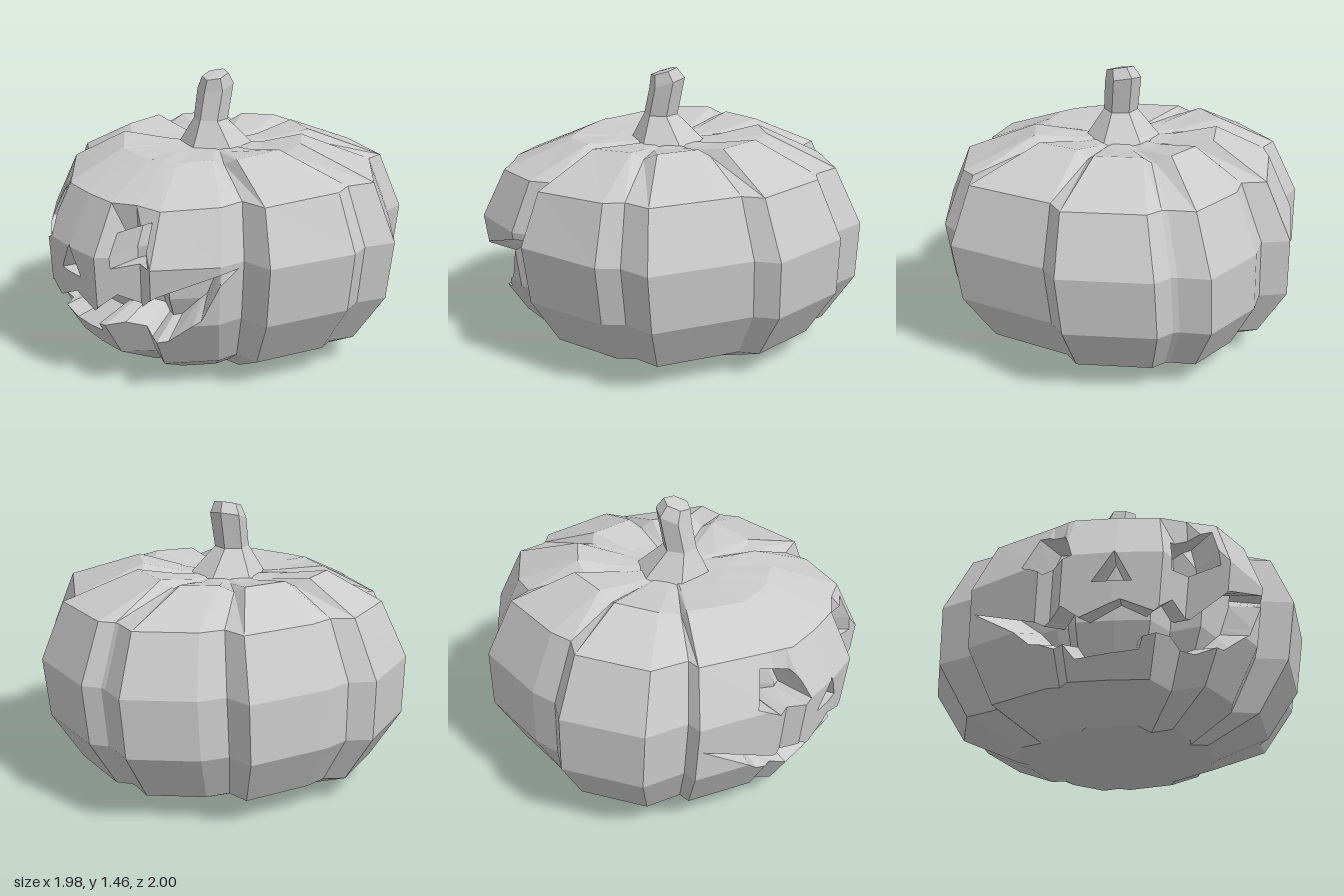
import * as THREE from 'three';

// Ribbed cross-section of the body at its widest, clockwise from above, as
// [x, z, groove (1 sinks at the top), brow (z added above the eyes)]
const OUTLINE = [
  [0.02, -1], [0.15, -0.91, 1], [0.18, -0.9, 1], [0.28, -0.92], [0.68, -0.67], [0.68, -0.54, 1],
  [0.75, -0.44], [0.99, -0.09], [0.91, 0.06, 1], [0.93, 0.18], [0.74, 0.61], [0.57, 0.59, 1],
  [0.54, 0.73], [0.31, 0.97], [0.14, 0.85, 0, 0.12], [-0.02, 1], [-0.24, 0.95],
  [-0.47, 0.87], [-0.5, 0.78, 0, 0.06], [-0.57, 0.76], [-0.86, 0.44], [-0.82, 0.37, 1], [-0.99, 0.21],
  [-0.98, -0.23], [-0.86, -0.3, 1], [-0.81, -0.44], [-0.56, -0.8], [-0.42, -0.75, 1], [-0.32, -0.86],
];
// Body profile as [scale, y, x shift, z shift, slope of the front, groove sink], bottom to top
const PROFILE = [
  [0, 0.03, 0, 0, 0, 0], [0.52, 0, -0.04, 0.02, 0, 0], [0.81, 0.13, -0.03, -0.01, 0, 0],
  [0.975, 0.385, -0.02, -0.01, 0, 0], [1, 0.69, 0, 0, 0, 0], [0.87, 0.985, 0.01, 0.01, 0.045, 0],
  [0.52, 1.13, -0.05, 0.03, 0.05, 0.04], [0.28, 1.085, -0.04, 0.04, 0, 0.01], [0, 1.07, -0.04, 0.04, 0, 0],
];

// Carved openings: outline in [x, y], inward scale and upward slope of the recess
const CARVINGS = [
  { name: 'rightEye', depth: 0.78, lift: 0, points: [[-0.64, 0.71], [-0.55, 0.64], [-0.43, 0.69], [-0.45, 0.85], [-0.55, 0.89]] },
  { name: 'leftEye', depth: 0.78, lift: 0, points: [[0.03, 0.63], [0.27, 0.68], [0.25, 0.89], [0.04, 0.8]] },
  { name: 'nose', depth: 0.85, lift: 0, points: [[-0.34, 0.55], [-0.16, 0.55], [-0.24, 0.7]] },
  {
    name: 'mouth', depth: 0.78, lift: 0.07, points: [
      [-0.84, 0.55], [-0.59, 0.32], [-0.45, 0.28], [-0.39, 0.22], [-0.11, 0.25], [-0.1, 0.3], [0.04, 0.33],
      [0.17, 0.27], [0.3, 0.29], [0.45, 0.41], [0.56, 0.66], [0.32, 0.55], [0.14, 0.43], [0.04, 0.49],
      [-0.06, 0.4], [-0.21, 0.46], [-0.39, 0.38], [-0.47, 0.44], [-0.53, 0.38], [-0.59, 0.41]],
  },
];

const material = new THREE.MeshStandardMaterial({ color: 0xcccccc, flatShading: true });

// Flat-shaded mesh from convex polygons
function polygonMesh(name, polygons) {
  const positions = [];
  const tri = new THREE.Triangle();
  for (const poly of polygons) {
    for (let i = 1; i + 1 < poly.length; i++) {
      tri.set(poly[0], poly[i], poly[i + 1]);
      if (tri.getArea() < 1e-8) continue;
      for (const p of [tri.a, tri.b, tri.c]) positions.push(p.x, p.y, p.z);
    }
  }
  const geometry = new THREE.BufferGeometry();
  geometry.setAttribute('position', new THREE.Float32BufferAttribute(positions, 3));
  geometry.computeVertexNormals();
  const mesh = new THREE.Mesh(geometry, material);
  mesh.name = name;
  return mesh;
}

// Triangles between successive rings whose points run clockwise from above
function skin(rings) {
  const faces = [];
  for (let r = 0; r + 1 < rings.length; r++) {
    const low = rings[r], high = rings[r + 1], n = low.length;
    for (let i = 0; i < n; i++) {
      const j = (i + 1) % n;
      faces.push([low[i], high[i], high[j]], [low[i], high[j], low[j]]);
    }
  }
  return faces;
}

// Split a polygon by the line a-b in the xy plane into its left and right parts
function split(poly, a, b) {
  const side = (p) => (b.x - a.x) * (p.y - a.y) - (b.y - a.y) * (p.x - a.x);
  const left = [], right = [];
  poly.forEach((p, i) => {
    const q = poly[(i + 1) % poly.length];
    const sp = side(p), sq = side(q);
    if (sp >= 0) left.push(p);
    if (sp <= 0) right.push(p);
    if (sp * sq < 0) {
      const cut = p.clone().lerp(q, sp / (sp - sq));
      left.push(cut);
      right.push(cut);
    }
  });
  return [left, right];
}

// Cut one triangle out of a set of polygons; the removed pieces go to 'removed'
function cutTriangle(polygons, triangle, removed) {
  const kept = [];
  for (const poly of polygons) {
    const outside = [];
    let rest = poly;
    for (let i = 0; i < 3 && rest.length > 2; i++) {
      const [left, right] = split(rest, triangle[i], triangle[(i + 1) % 3]);
      if (right.length > 2) outside.push(right);
      rest = left;
    }
    if (rest.length > 2) {
      removed.push(rest);
      kept.push(...outside);
    } else kept.push(poly);
  }
  return kept;
}

// Walls and back of a carved recess, made from the pieces cut out of the skin
function recess(carving, contour, pieces) {
  const inward = (p) => new THREE.Vector3(p.x * carving.depth, p.y + carving.lift, p.z * carving.depth);
  const onRim = (p) => contour.some((a, i) => {
    const edge = contour[(i + 1) % contour.length].clone().sub(a);
    const t = THREE.MathUtils.clamp(p.clone().sub(a).dot(edge) / edge.lengthSq(), 0, 1);
    return p.distanceTo(a.clone().addScaledVector(edge, t)) < 1e-5;
  });
  const polygons = [];
  for (const piece of pieces) {
    polygons.push(piece.map(inward));
    piece.forEach((p, i) => {
      const q = piece[(i + 1) % piece.length];
      const middle = new THREE.Vector2((p.x + q.x) / 2, (p.y + q.y) / 2);
      if (onRim(middle)) polygons.push([p, q, inward(q), inward(p)]);
    });
  }
  return polygonMesh(carving.name, polygons);
}

export function createModel() {
  const model = new THREE.Group();
  model.name = 'carvedPumpkin';

  // Body skin, separated into the carvable front and the rest
  const rings = PROFILE.map(([s, y, dx, dz, slope, sink]) => OUTLINE.map(([x, z, groove = 0, brow = 0]) =>
    new THREE.Vector3(
      x * s + dx,
      y - slope * Math.max(z, 0) - sink * groove,
      (y > 0.9 ? z + brow : z) * s + dz)));
  let front = [];
  const body = [];
  for (const face of skin(rings)) {
    const normal = new THREE.Triangle(...face).getNormal(new THREE.Vector3());
    const carvable = normal.z > 0.02 && face.every((p) => p.z > 0.3 && p.y < 1);
    (carvable ? front : body).push(face);
  }

  // Eyes, nose and mouth
  for (const carving of CARVINGS) {
    const contour = carving.points.map(([x, y]) => new THREE.Vector2(x, y));
    const removed = [];
    for (const face of THREE.ShapeUtils.triangulateShape(contour, [])) {
      const triangle = face.map((i) => contour[i]);
      if (THREE.ShapeUtils.isClockWise(triangle)) triangle.reverse();
      front = cutTriangle(front, triangle, removed);
    }
    model.add(recess(carving, contour, removed));
  }
  model.add(polygonMesh('body', [...body, ...front]));

  // Six-sided stem, flared at the base and bent, with a tilted tip
  const stemRings = [
    [-0.04, 1.07, 0.04, 0.2, 0], [-0.045, 1.21, 0.08, 0.09, 0], [-0.04, 1.38, 0.045, 0.095, -0.3],
    [-0.03, 1.44, 0.06, 0.07, -0.3], [-0.03, 1.445, 0.06, 0, 0],
  ].map(([cx, cy, cz, radius, tilt]) => Array.from({ length: 6 }, (_, i) => {
    const angle = (i / 6) * Math.PI * 2 + 0.5;
    const x = Math.cos(angle) * radius, z = Math.sin(angle) * radius;
    return new THREE.Vector3(cx + x, cy + z * tilt, cz + z);
  }));
  model.add(polygonMesh('stem', skin(stemRings)));

  return model;
}
